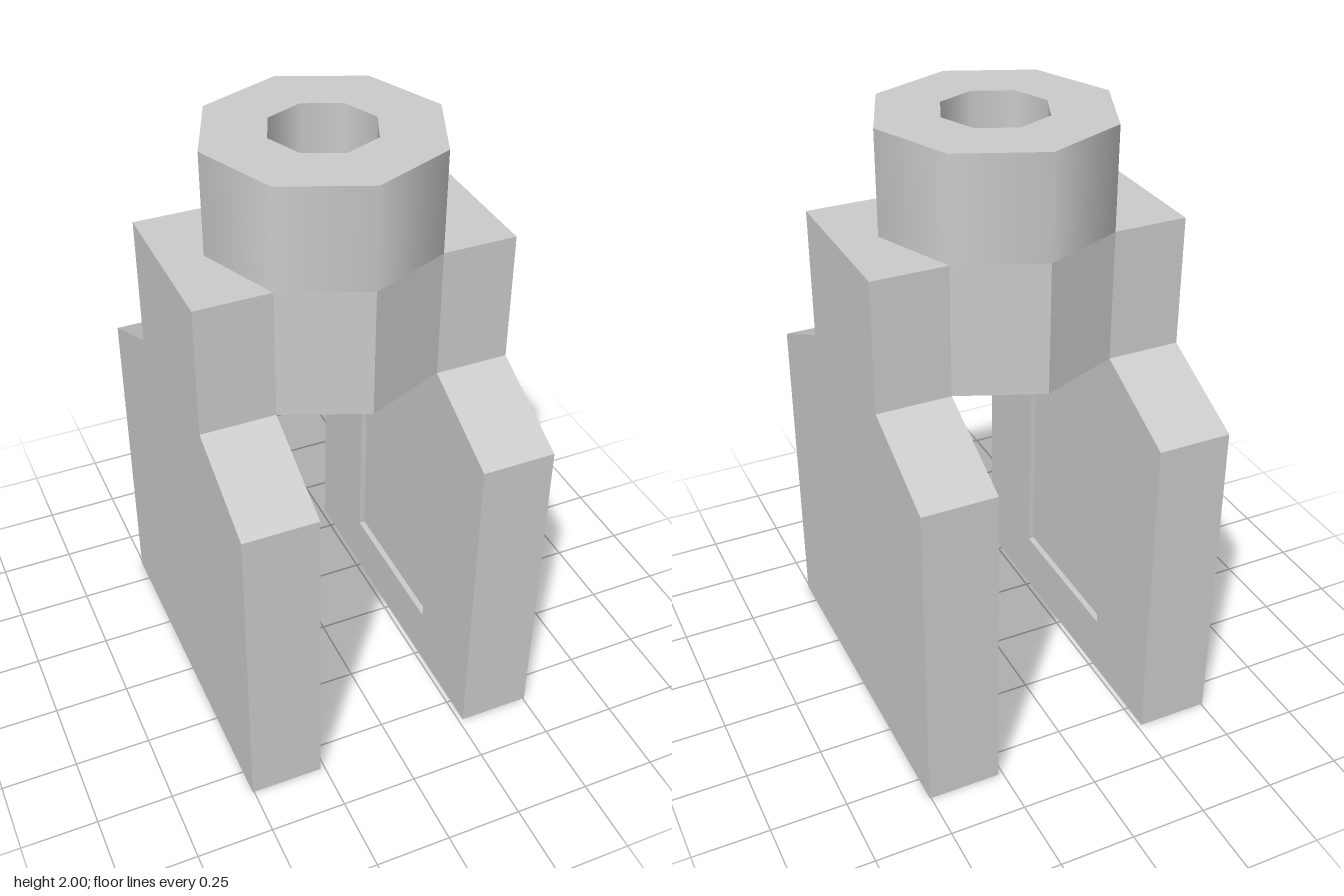
import * as THREE from 'three';

const HEAD_R = 0.375, BORE_R = 0.17;
const Y_SHOULDER = 1.09, Y_BRIDGE = 1.245, Y_HEAD = 1.67, Y_TOP = 2;
const INNER = 0.265, OUTER = 0.505, NECK_Z = 0.265, LEG_Z = 0.59;
const RECESS = 0.02; // depth of the panel sunk into each inner leg face

export function createModel() {
  const group = new THREE.Group();
  const flat = new THREE.MeshStandardMaterial({ color: 0xcccccc, flatShading: true });
  const smooth = new THREE.MeshStandardMaterial({ color: 0xcccccc });
  const inside = new THREE.MeshStandardMaterial({ color: 0xcccccc, side: THREE.BackSide });

  const add = (name, geometry, material, parent = group) => {
    const mesh = new THREE.Mesh(geometry, material);
    mesh.name = name;
    parent.add(mesh);
    return mesh;
  };

  // Side plates: shouldered outline in z/y, extruded along x
  const outline = () => new THREE.Shape([
    [-LEG_Z, 0], [LEG_Z, 0], [LEG_Z, Y_SHOULDER], [NECK_Z, Y_BRIDGE], [NECK_Z, Y_HEAD],
    [-NECK_Z, Y_HEAD], [-NECK_Z, Y_BRIDGE], [-LEG_Z, Y_SHOULDER],
  ].map(([z, y]) => new THREE.Vector2(z, y)));
  const slab = (shape, x0, x1) =>
    new THREE.ExtrudeGeometry(shape, { depth: x1 - x0, bevelEnabled: false })
      .rotateY(Math.PI / 2).translate(x0, 0, 0);

  // Inner skin with a rectangular opening that forms the shallow recess
  const skin = outline();
  skin.holes.push(new THREE.Path([
    [-NECK_Z, 0.2], [-NECK_Z, 1.09], [NECK_Z, 1.09], [NECK_Z, 0.2],
  ].map(([z, y]) => new THREE.Vector2(z, y))));

  for (const [name, turn] of [['leftLeg', 0], ['rightLeg', Math.PI]]) {
    const leg = new THREE.Group();
    leg.name = name;
    leg.rotation.y = turn;
    add('sidePlate', slab(outline(), INNER + RECESS, OUTER), flat, leg);
    add('recessedSkin', slab(skin, INNER, INNER + RECESS), flat, leg);
    group.add(leg);
  }

  // Octagonal bridge joining the legs; its top is also the floor of the bore
  add('bridge', new THREE.CylinderGeometry(HEAD_R, HEAD_R, Y_HEAD - Y_BRIDGE, 8), flat)
    .position.y = (Y_HEAD + Y_BRIDGE) / 2;

  // Hollow head: smooth outer wall, flat rim and inner bore
  const wall = (r) => new THREE.CylinderGeometry(r, r, Y_TOP - Y_HEAD, 8, 1, true)
    .translate(0, (Y_TOP + Y_HEAD) / 2, 0);
  add('headWall', wall(HEAD_R), smooth);
  add('headBore', wall(BORE_R), inside);
  add('headRim', new THREE.RingGeometry(BORE_R, HEAD_R, 8).rotateX(-Math.PI / 2), flat)
    .position.y = Y_TOP;

  return group;
}
